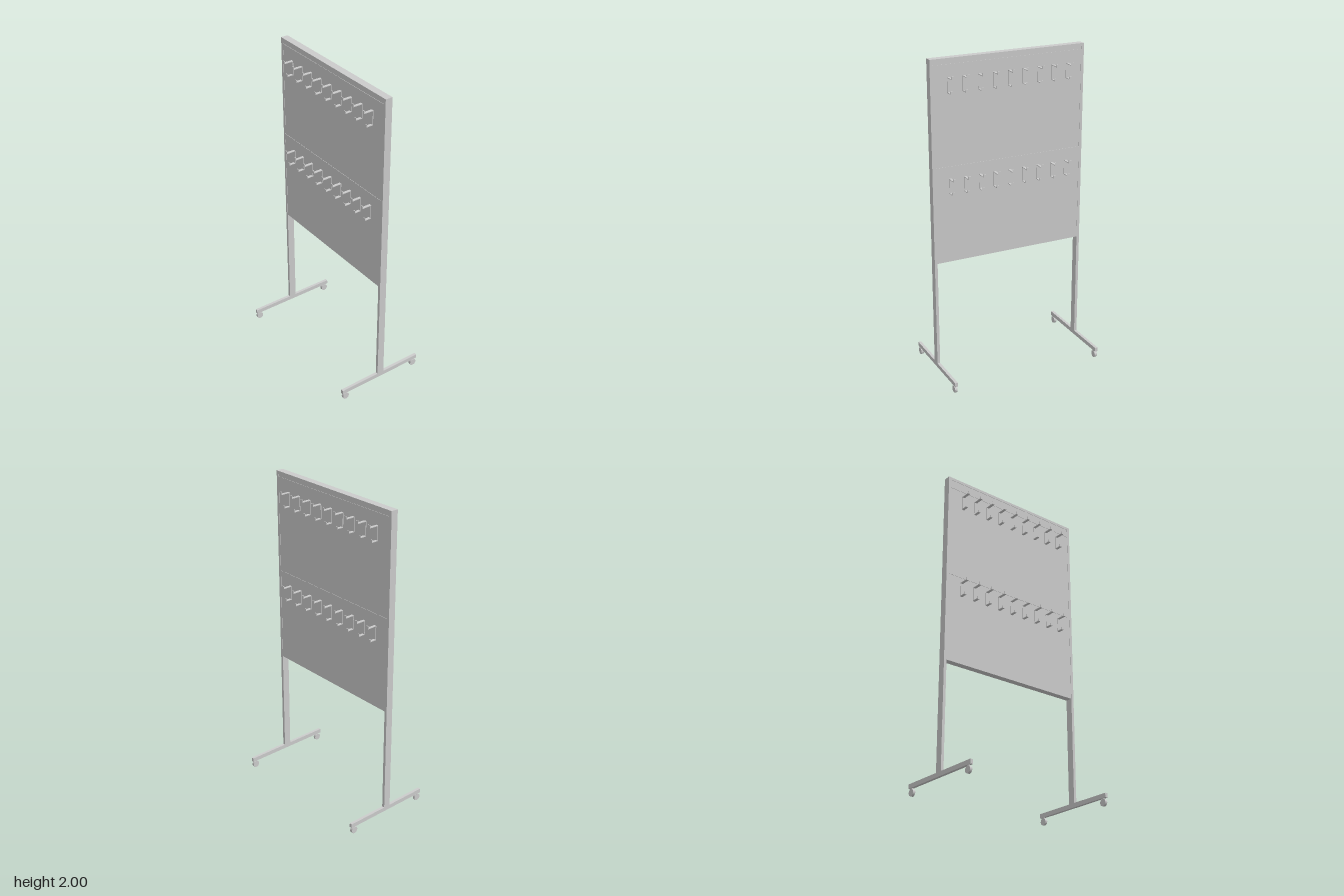
import * as THREE from 'three';

const grey = new THREE.MeshStandardMaterial({ color: 0xcccccc });

// Box given by its minimum and maximum corners
function box(parent, name, [x0, y0, z0], [x1, y1, z1]) {
  const mesh = new THREE.Mesh(new THREE.BoxGeometry(x1 - x0, y1 - y0, z1 - z0), grey);
  mesh.position.set((x0 + x1) / 2, (y0 + y1) / 2, (z0 + z1) / 2);
  mesh.name = name;
  parent.add(mesh);
  return mesh;
}

// Bent flat-bar coat hook: back plate, long upper arm and short lower arm with upturned tips
function makeHookGeometry() {
  const t = 0.004, w = 0.016;
  const outline = [
    [0, -0.002], [0.044, -0.002], [0.044, 0.014], [0.044 - t, 0.014], [0.044 - t, t - 0.002],
    [t, t - 0.002], [t, 0.09], [0.063 - t, 0.09], [0.063 - t, 0.105], [0.063, 0.105],
    [0.063, 0.09 - t], [t, 0.09 - t],
  ];
  // Upper arm is traced separately so the outline stays simple
  const lower = new THREE.Shape([
    ...outline.slice(0, 6), [t, 0.086], [0.063, 0.086], [0.063, 0.105],
    [0.063 - t, 0.105], [0.063 - t, 0.09], [0, 0.09],
  ].map(([x, y]) => new THREE.Vector2(x, y)));
  const geometry = new THREE.ExtrudeGeometry(lower, { depth: w, bevelEnabled: false });
  return geometry.translate(0, 0, -w / 2);
}

export function createModel() {
  const model = new THREE.Group();
  const half = 0.023, inner = 0.482;

  // Board and top rail
  box(model, 'panel', [-0.021, 0.75, -inner], [0.021, 1.985, inner]);
  box(model, 'topRail', [-half, 1.982, -inner], [half, 2, inner]);

  // Side frames with feet and wheels
  for (const s of [-1, 1]) {
    const side = new THREE.Group();
    side.name = s > 0 ? 'frontFrame' : 'backFrame';
    const z0 = s > 0 ? inner : -0.5, z1 = z0 + 0.018;
    box(side, 'post', [-half, 0.075, z0], [half, 2, z1]);
    box(side, 'foot', [-0.293, 0.048, z0], [0.293, 0.075, z1]);
    for (const x of [-0.268, 0.268]) {
      const wheel = new THREE.Mesh(new THREE.CylinderGeometry(0.022, 0.022, 0.016, 20), grey);
      wheel.rotation.x = Math.PI / 2;
      wheel.position.set(x, 0.022, s * 0.491);
      wheel.name = 'wheel';
      side.add(wheel);
      box(side, 'wheelStem', [x - 0.006, 0.03, s * 0.491 - 0.006], [x + 0.006, 0.05, s * 0.491 + 0.006]);
    }
    model.add(side);
  }

  // Two rows of hooks, each under a label strip, on both faces
  const hookGeometry = makeHookGeometry();
  for (const y of [1.8, 1.19]) {
    for (const s of [-1, 1]) {
      const row = new THREE.Group();
      row.name = 'hookRow';
      const x0 = s > 0 ? 0.021 : -half;
      box(row, 'labelStrip', [x0, y + 0.125, -inner], [x0 + 0.002, y + 0.165, inner]);
      for (let i = 0; i < 9; i++) {
        const hook = new THREE.Mesh(hookGeometry, grey);
        hook.position.set(s * 0.021, y, -0.387 + i * 0.0967);
        hook.rotation.y = s > 0 ? 0 : Math.PI;
        hook.name = 'hook';
        row.add(hook);
      }
      model.add(row);
    }
  }
  return model;
}
